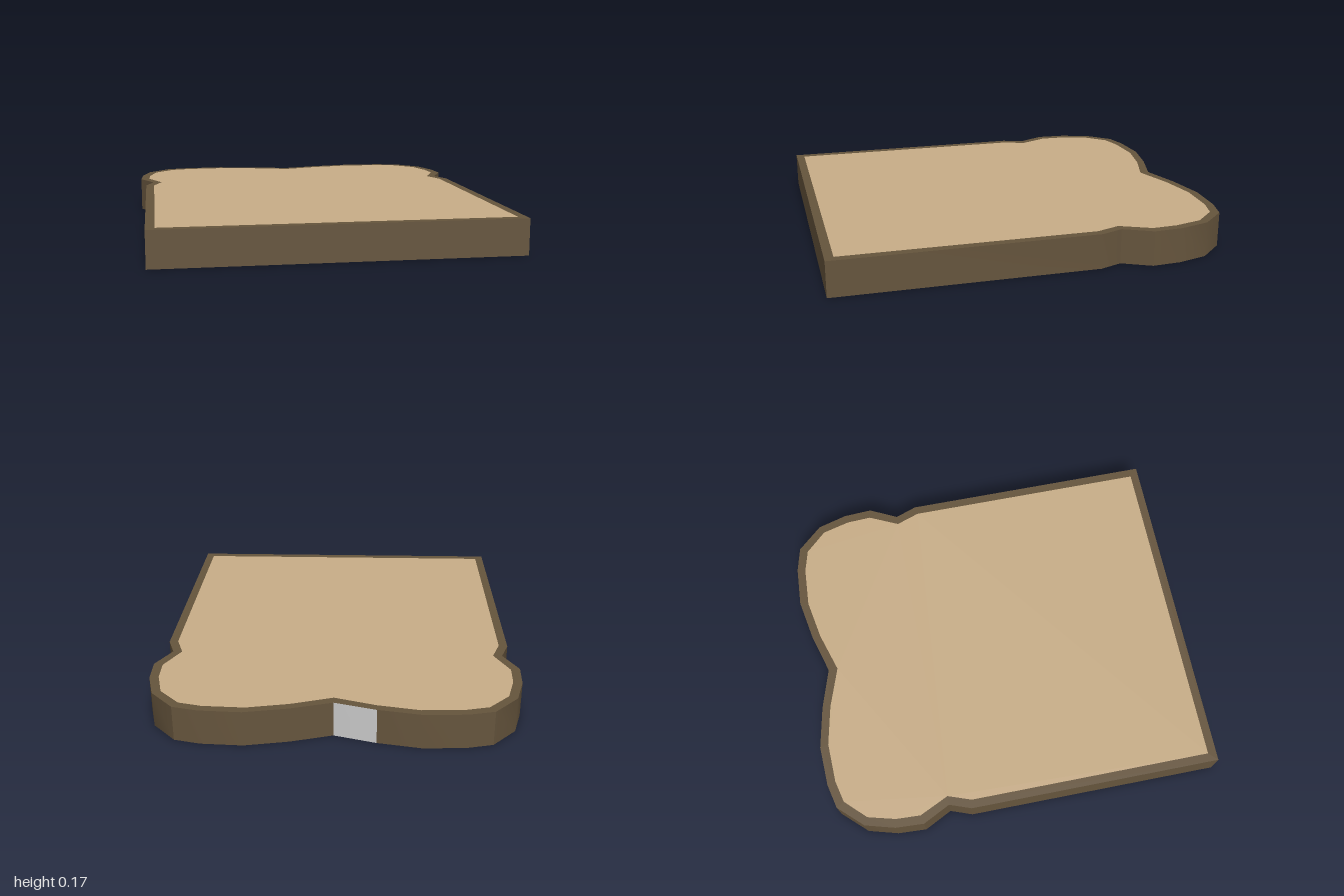
import * as THREE from 'three';
import { toCreasedNormals } from 'three/addons/utils/BufferGeometryUtils.js';

const HEIGHT = 0.175;

// Right half of each outline as [x, z], from the notch at the back to the front corner
const OUTER = [[0, -0.9], [0.2, -0.96], [0.41, -1], [0.61, -0.99], [0.735, -0.96], [0.85, -0.835],
  [0.892, -0.685], [0.9, -0.54], [0.83, -0.4], [0.87, -0.29], [0.87, 1]];
const INNER = [[0, -0.853], [0.2, -0.918], [0.4, -0.957], [0.6, -0.948], [0.712, -0.92], [0.812, -0.815],
  [0.849, -0.675], [0.855, -0.55], [0.785, -0.4], [0.827, -0.282], [0.827, 0.957]];

// Mirror a half outline into a closed loop
function loop(half) {
  const left = half.slice(1).reverse().map(([x, z]) => [-x, z]);
  return [...half, ...left].map(([x, z]) => new THREE.Vector2(x, -z));
}

// Extrude a shape upwards from the ground
function slab(shape) {
  const geometry = new THREE.ExtrudeGeometry(shape, { depth: HEIGHT, bevelEnabled: false });
  geometry.rotateX(-Math.PI / 2);
  return toCreasedNormals(geometry, 0.5);
}

export function createModel() {
  const model = new THREE.Group();
  model.name = 'breadSlice';

  const crustMaterial = new THREE.MeshStandardMaterial({ color: 0x66553d });
  const crumbMaterial = new THREE.MeshStandardMaterial({ color: 0xc9ae88 });
  const greyMaterial = new THREE.MeshStandardMaterial({ color: 0xcccccc });

  // Crust: a ring around the slice
  const ring = new THREE.Shape(loop(OUTER));
  ring.holes.push(new THREE.Path(loop(INNER)));
  const crustGeometry = slab(ring);

  // The outer wall beside the notch, on the -x side, is grey
  const { position, normal } = crustGeometry.attributes;
  const isGrey = (i) => [0, 1, 2].every((k) =>
    normal.getZ(i + k) < -0.5 && position.getX(i + k) < 0.001 && position.getX(i + k) > -0.201);
  crustGeometry.clearGroups();
  for (let i = 0; i < position.count; i += 3) {
    crustGeometry.addGroup(i, 3, isGrey(i) ? 1 : 0);
  }
  // Join neighbouring groups that share a material
  crustGeometry.groups = crustGeometry.groups.reduce((merged, group) => {
    const last = merged[merged.length - 1];
    if (last && last.materialIndex === group.materialIndex) last.count += group.count;
    else merged.push({ ...group });
    return merged;
  }, []);

  const crust = new THREE.Mesh(crustGeometry, [crustMaterial, greyMaterial]);
  crust.name = 'crust';
  model.add(crust);

  // Crumb: fills the ring, flush with the crust on both faces
  const crumb = new THREE.Mesh(slab(new THREE.Shape(loop(INNER))), crumbMaterial);
  crumb.name = 'crumb';
  model.add(crumb);

  return model;
}
